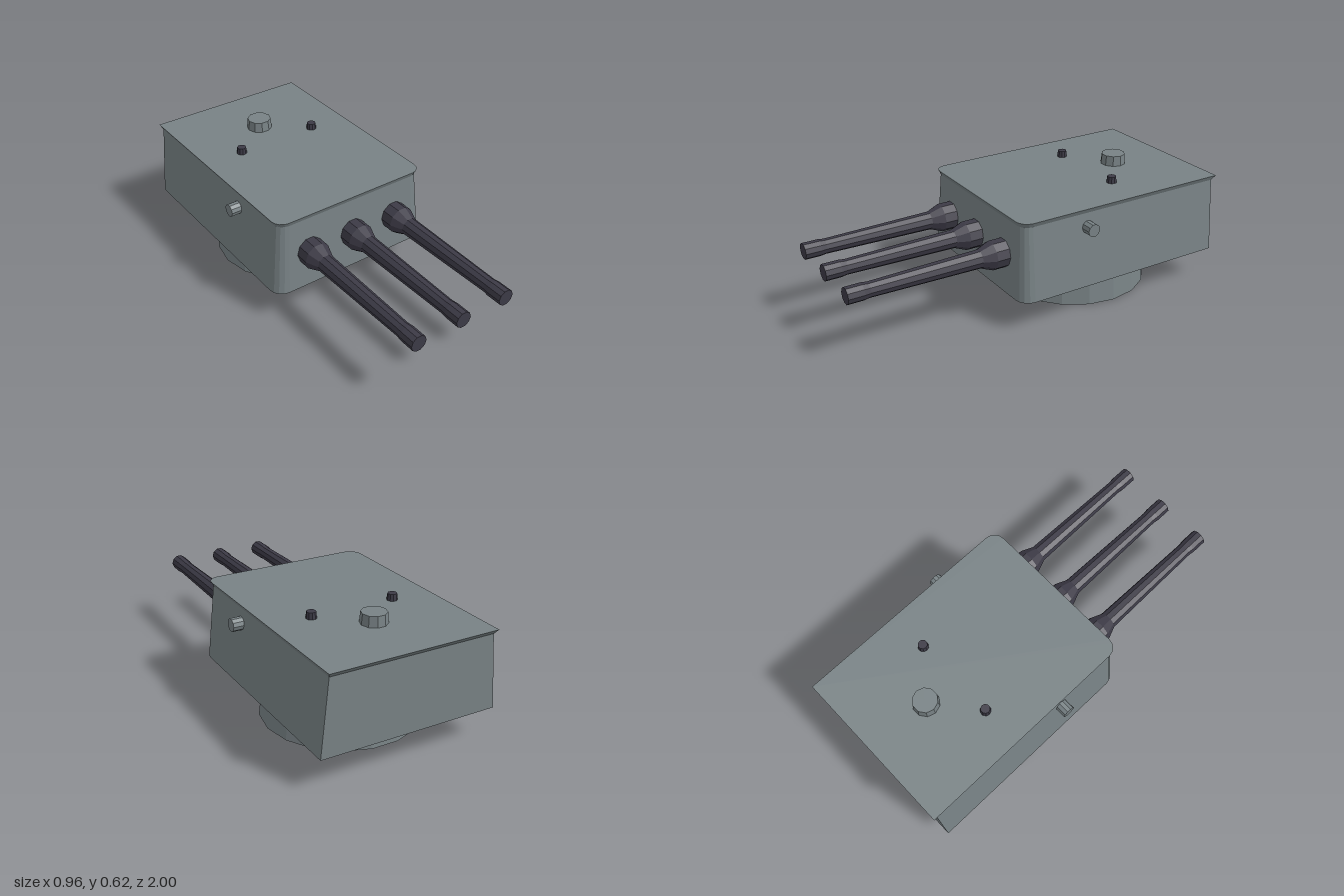
import * as THREE from 'three';

const grey = new THREE.MeshStandardMaterial({ color: 0x788285 });
grey.name = 'armourGrey';
const dark = new THREE.MeshStandardMaterial({ color: 0x3c3a46 });
dark.name = 'gunDark';

// Flat-faced copy of a geometry
function faceted(geometry) {
  const g = geometry.index ? geometry.toNonIndexed() : geometry;
  g.computeVertexNormals();
  return g;
}

function addMesh(parent, name, geometry, material, x = 0, y = 0, z = 0) {
  const mesh = new THREE.Mesh(faceted(geometry), material);
  mesh.name = name;
  mesh.position.set(x, y, z);
  parent.add(mesh);
  return mesh;
}

// Plan outline with square back corners and rounded front corners
function outline({ y, w, back, front, r }) {
  const pts = [[w, y, back]];
  const steps = 4;
  for (const side of [1, -1]) {
    for (let i = 0; i <= steps; i++) {
      const t = (side > 0 ? i : steps - i) / steps * Math.PI / 2;
      pts.push([side * (w - r + r * Math.cos(t)), y, front - r + r * Math.sin(t)]);
    }
  }
  pts.push([-w, y, back]);
  return pts;
}

// Closed solid lofted through a stack of outlines, bottom to top
function loft(sections) {
  const rings = sections.map(outline);
  const n = rings[0].length;
  const last = (rings.length - 1) * n;
  const index = [];
  for (let k = 0; k < rings.length - 1; k++) {
    for (let i = 0; i < n; i++) {
      const j = (i + 1) % n;
      const a = k * n + i, b = k * n + j, c = b + n, d = a + n;
      index.push(a, d, c, a, c, b);
    }
  }
  for (let i = 1; i < n - 1; i++) {
    index.push(0, i, i + 1);
    index.push(last, last + i + 1, last + i);
  }
  const g = new THREE.BufferGeometry();
  g.setAttribute('position', new THREE.Float32BufferAttribute(rings.flat(2), 3));
  g.setIndex(index);
  return g;
}

// Tapered ten-sided stub standing on its base
function stub(rTop, rBottom, height) {
  return new THREE.CylinderGeometry(rTop, rBottom, height, 10)
    .rotateY(Math.PI / 10).translate(0, height / 2, 0);
}

export function createModel() {
  const model = new THREE.Group();
  model.name = 'gunTurret';

  // Round base under the gun house
  addMesh(model, 'base', new THREE.CylinderGeometry(0.386, 0.403, 0.17, 18)
    .rotateY(Math.PI / 18), grey, 0, 0.085, -0.393);

  // Gun house with sloped sides and a flared roof edge
  addMesh(model, 'gunHouse', loft([
    { y: 0.164, w: 0.458, back: -0.98, front: 0.197, r: 0.07 },
    { y: 0.545, w: 0.422, back: -0.98, front: 0.178, r: 0.055 },
    { y: 0.569, w: 0.434, back: -1.0, front: 0.188, r: 0.06 },
  ]), grey);

  // Three guns: thick sleeve, taper, slim barrel and a swollen muzzle
  const profile = [[0, 0.15], [0.073, 0.15], [0.073, 0.255], [0.047, 0.32],
    [0.038, 0.89], [0.042, 0.92], [0.042, 1], [0, 1]]
    .map(([r, z]) => new THREE.Vector2(r, z));
  for (const [name, x] of [['rightGun', -0.257], ['middleGun', 0], ['leftGun', 0.257]]) {
    const gun = new THREE.LatheGeometry(profile, 10, Math.PI / 10).rotateX(Math.PI / 2);
    addMesh(model, name, gun, dark, x, 0.362, 0);
  }

  // Roof fittings
  addMesh(model, 'roofHatch', stub(0.062, 0.067, 0.056), grey, 0, 0.566, -0.663);
  for (const [side, s] of [['left', 1], ['right', -1]]) {
    addMesh(model, side + 'Periscope', stub(0.023, 0.027, 0.036), dark, s * 0.22, 0.566, -0.485);

    // Sight stub through the side wall
    const sight = new THREE.CylinderGeometry(0.033, 0.033, 0.09, 10).rotateZ(Math.PI / 2);
    addMesh(model, side + 'Sight', sight, grey, s * 0.437, 0.473, -0.188);
  }
  return model;
}
